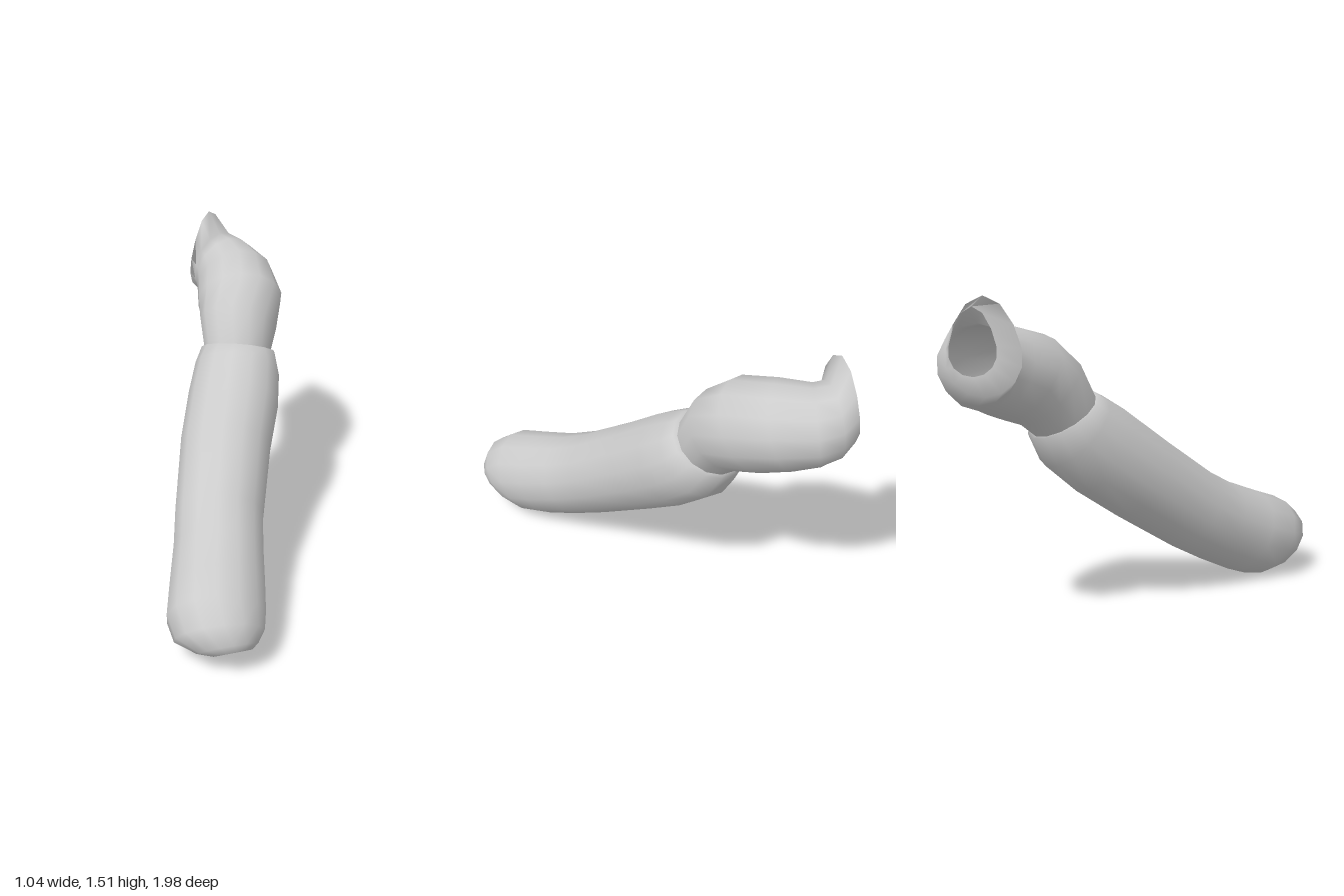
import * as THREE from 'three';

const SIDES = 14;

// Skin a row of rings; each ring is [x, y, z, normalX, normalY, normalZ, radius, peak]
// where peak lifts the top of that ring into a point.
function loft(name, rings) {
  const pos = [], index = [];
  const up = new THREE.Vector3(0, 1, 0);
  for (const [x, y, z, nx, ny, nz, r, peak = 0] of rings) {
    const n = new THREE.Vector3(nx, ny, nz).normalize();
    const v = up.clone().addScaledVector(n, -n.y).normalize();
    const u = new THREE.Vector3().crossVectors(v, n);
    for (let j = 0; j < SIDES; j++) {
      const a = (j / SIDES) * Math.PI * 2;
      const p = new THREE.Vector3(x, y, z)
        .addScaledVector(v, r * Math.cos(a))
        .addScaledVector(u, r * Math.sin(a));
      p.y += peak * Math.max(0, Math.cos(a)) ** 2;
      pos.push(p.x, p.y, p.z);
    }
  }
  for (let i = 0; i < rings.length - 1; i++) {
    for (let j = 0; j < SIDES; j++) {
      const k = (j + 1) % SIDES;
      const a = i * SIDES + j, b = i * SIDES + k;
      const c = a + SIDES, d = b + SIDES;
      index.push(a, c, b, b, c, d);
    }
  }
  const geometry = new THREE.BufferGeometry();
  geometry.setAttribute('position', new THREE.Float32BufferAttribute(pos, 3));
  geometry.setIndex(index);
  geometry.computeVertexNormals();
  const mesh = new THREE.Mesh(geometry, new THREE.MeshStandardMaterial({
    color: 0xcccccc, side: THREE.DoubleSide,
  }));
  mesh.name = name;
  return mesh;
}

export function createModel() {
  const model = new THREE.Group();
  model.name = 'jointedTube';

  // Long segment, from the small opening at the front up to the joint
  model.add(loft('longSegment', [
    [0.415, 0.118, 0.875, -0.4, 0.75, -0.45, 0.085],
    [0.39, 0.135, 0.875, -0.4, 0.72, -0.48, 0.135],
    [0.335, 0.16, 0.84, -0.4, 0.62, -0.6, 0.2],
    [0.285, 0.195, 0.765, -0.4, 0.5, -0.75, 0.222],
    [0.23, 0.245, 0.635, -0.4, 0.45, -0.85, 0.218],
    [0.155, 0.325, 0.46, -0.38, 0.5, -0.9, 0.21],
    [0.085, 0.415, 0.3, -0.36, 0.6, -0.9, 0.21],
    [-0.02, 0.62, 0.0, -0.3, 0.65, -0.9, 0.22],
    [-0.07, 0.765, -0.2, -0.25, 0.66, -0.9, 0.225],
    [-0.11, 0.87, -0.335, -0.2, 0.75, -0.75, 0.213],
    [-0.13, 0.95, -0.39, -0.15, 0.85, -0.5, 0.185],
    [-0.13, 0.955, -0.39, -0.15, 0.85, -0.5, 0.15],
  ]));

  // Shallow socket inside the front opening
  model.add(loft('frontSocket', [
    [0.415, 0.118, 0.875, -0.4, 0.75, -0.45, 0.085],
    [0.412, 0.123, 0.872, -0.4, 0.75, -0.45, 0.068],
    [0.39, 0.163, 0.845, -0.4, 0.75, -0.45, 0.066],
    [0.39, 0.163, 0.845, -0.4, 0.75, -0.45, 0.001],
  ]));

  // Short bent segment; its end folds in to a narrow mouth with a pointed lip
  model.add(loft('shortSegment', [
    [-0.135, 0.95, -0.39, -0.15, 0.85, -0.5, 0.168],
    [-0.165, 1.06, -0.465, -0.15, 0.7, -0.7, 0.195],
    [-0.21, 1.14, -0.585, -0.4, 0.55, -0.75, 0.217],
    [-0.295, 1.185, -0.715, -0.6, 0.35, -0.7, 0.203],
    [-0.39, 1.205, -0.805, -0.8, 0.15, -0.5, 0.182],
    [-0.45, 1.225, -0.825, -0.95, 0.1, -0.3, 0.172],
    [-0.505, 1.255, -0.805, -1, 0.12, -0.1, 0.16, 0.1],
    [-0.495, 1.28, -0.85, -1, 0.12, -0.1, 0.1, 0.09],
  ]));

  return model;
}
